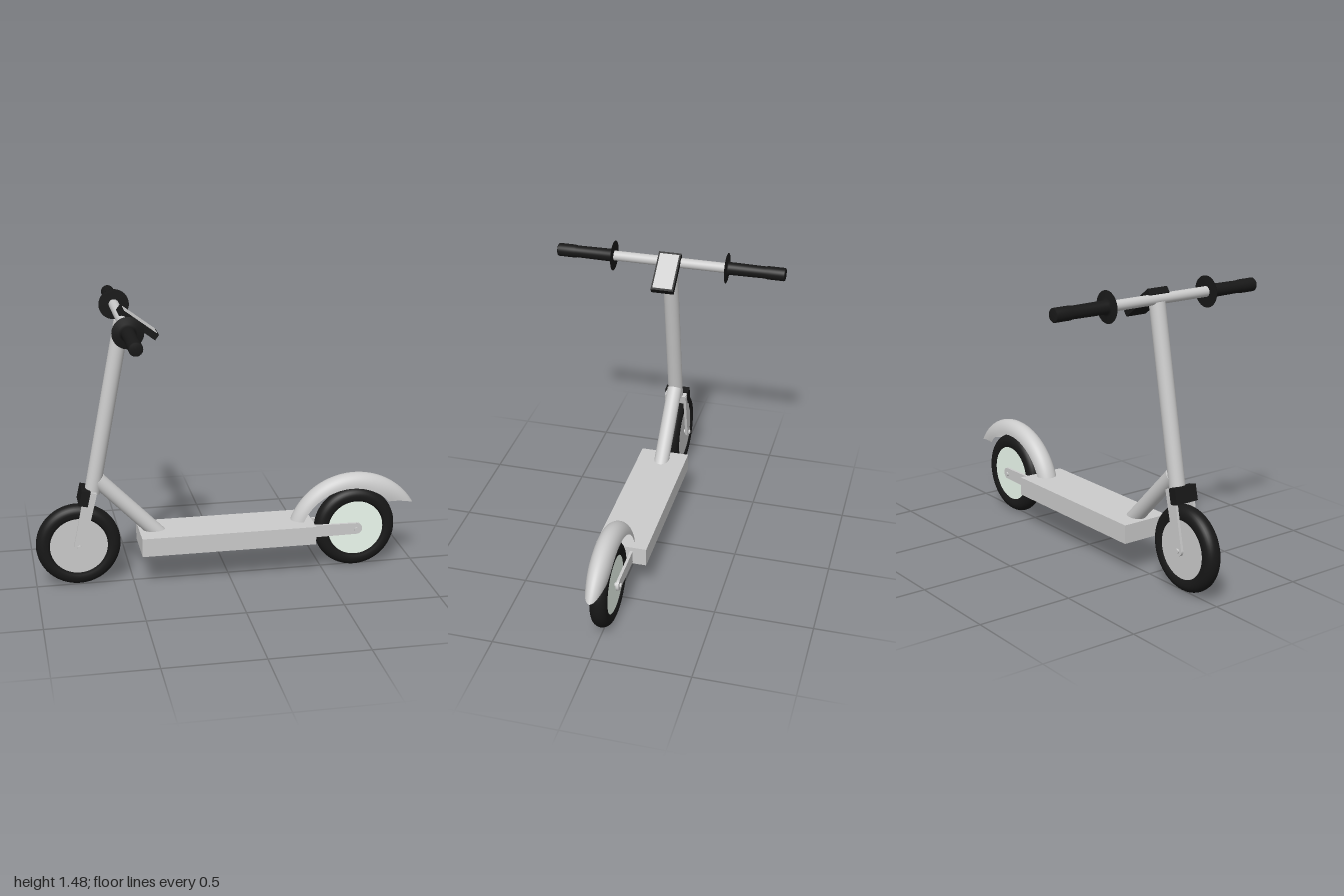
import * as THREE from 'three';

const grey = new THREE.MeshStandardMaterial({ color: 0xcccccc });
const greyShell = new THREE.MeshStandardMaterial({ color: 0xcccccc, side: THREE.DoubleSide });
const black = new THREE.MeshStandardMaterial({ color: 0x181818 });
const pale = new THREE.MeshStandardMaterial({ color: 0xeefbf0 });

const v = (x, y, z = 0) => new THREE.Vector3(x, y, z);

function add(parent, name, geometry, material, x = 0, y = 0, z = 0) {
  const mesh = new THREE.Mesh(geometry, material);
  mesh.name = name;
  mesh.position.set(x, y, z);
  parent.add(mesh);
  return mesh;
}

// Round bar between two points
function rod(parent, name, a, b, radius, material, segments = 32) {
  const dir = b.clone().sub(a);
  const mesh = add(parent, name, new THREE.CylinderGeometry(radius, radius, dir.length(), segments), material);
  mesh.position.copy(a).add(b).multiplyScalar(0.5);
  mesh.quaternion.setFromUnitVectors(v(0, 1), dir.normalize());
  return mesh;
}

// Flat plate with a rounded eye at the axle and a square far end, on both sides of the wheel
function platePair(parent, name, x, y, angle, length, eye, end) {
  const s = new THREE.Shape();
  s.moveTo(length, -end);
  s.lineTo(length, end);
  s.lineTo(0, eye);
  s.absarc(0, 0, eye, Math.PI / 2, Math.PI * 1.5, false);
  s.closePath();
  const geo = new THREE.ExtrudeGeometry(s, { depth: 0.014, bevelEnabled: false, curveSegments: 16 });
  for (const z of [0.046, -0.06]) add(parent, name, geo, grey, x, y, z).rotation.z = angle;
}

function wheel(name, x, y, discMaterial) {
  const g = new THREE.Group();
  g.name = name;
  // Tyre with a rounded tread
  const profile = [new THREE.Vector2(0.148, -0.036), new THREE.Vector2(0.16, -0.042)];
  for (let i = 0; i <= 14; i++) {
    const a = -Math.PI / 2 + (Math.PI * i) / 14;
    profile.push(new THREE.Vector2(0.176 + 0.041 * Math.cos(a), 0.043 * Math.sin(a)));
  }
  profile.push(new THREE.Vector2(0.16, 0.042), new THREE.Vector2(0.148, 0.036), new THREE.Vector2(0.148, -0.036));
  add(g, 'tyre', new THREE.LatheGeometry(profile, 64), black).rotation.x = Math.PI / 2;
  rod(g, 'wheelDisc', v(0, 0, -0.034), v(0, 0, 0.034), 0.15, discMaterial, 64);
  rod(g, 'axle', v(0, 0, -0.068), v(0, 0, 0.068), 0.012, grey, 16);
  g.position.set(x, y, 0);
  return g;
}

// Arched mudguard: half-tube swept round an arc, deeper and cut obliquely at the tail
function mudguardGeometry() {
  const nu = 48, nv = 20, pos = [], idx = [], R = 0.368;
  for (let i = 0; i <= nu; i++) {
    const t = i / nu;
    const depth = 0.055 + 0.04 * t * t;
    const tip = Math.max(0, (t - 0.8) / 0.2);
    const half = 0.055 - 0.008 * tip * tip;
    for (let j = 0; j <= nv; j++) {
      const phi = (Math.PI * j) / nv;
      const low = 1 - Math.sin(phi);
      const a = THREE.MathUtils.degToRad(THREE.MathUtils.lerp(163, 30 + 20 * low, t));
      const r = R - depth * low;
      pos.push(0.68 + r * Math.cos(a), 0.147 + r * Math.sin(a), half * Math.cos(phi));
      if (i < nu && j < nv) {
        const p = i * (nv + 1) + j, q = p + nv + 1;
        idx.push(p, q, p + 1, q, q + 1, p + 1);
      }
    }
  }
  const geo = new THREE.BufferGeometry();
  geo.setAttribute('position', new THREE.Float32BufferAttribute(pos, 3));
  geo.setIndex(idx);
  geo.computeVertexNormals();
  return geo;
}

export function createModel() {
  const model = new THREE.Group();
  model.name = 'kickScooter';

  // Wheels
  model.add(wheel('frontWheel', -0.78, 0.226, grey), wheel('rearWheel', 0.68, 0.217, pale));

  // Deck and rear fork
  add(model, 'deck', new THREE.BoxGeometry(0.909, 0.097, 0.26), grey, -0.011, 0.227, 0);
  platePair(model, 'rearForkArm', 0.68, 0.221, Math.PI, 0.25, 0.03, 0.033);
  add(model, 'rearMudguard', mudguardGeometry(), greyShell);

  // Steering column, brace and front fork
  rod(model, 'steeringColumn', v(-0.702, 0.5), v(-0.53, 1.385), 0.04, grey);
  rod(model, 'downTube', v(-0.67, 0.565), v(-0.36, 0.247), 0.04, grey);
  const lean = Math.atan2(0.32, 0.073);
  platePair(model, 'frontForkLeg', -0.78, 0.226, lean, 0.29, 0.027, 0.032);
  add(model, 'forkCrown', new THREE.BoxGeometry(0.055, 0.05, 0.118), grey, -0.715, 0.492, 0)
    .rotation.z = lean - Math.PI / 2;
  add(model, 'forkClamp', new THREE.BoxGeometry(0.046, 0.08, 0.13), black, -0.745, 0.489, 0)
    .rotation.z = lean - Math.PI / 2;

  // Handlebar with grips and flared hand guards
  const bar = new THREE.Group();
  bar.name = 'handlebar';
  bar.position.set(-0.535, 1.4, 0);
  model.add(bar);
  rod(bar, 'crossbar', v(0, 0, -0.59), v(0, 0, 0.59), 0.026, grey);
  const gripProfile = [[0, 0], [0.078, 0], [0.078, 0.002], [0.045, 0.007], [0.033, 0.012],
    [0.031, 0.2], [0.034, 0.215], [0.034, 0.3], [0.03, 0.305], [0, 0.305]]
    .map(([r, h]) => new THREE.Vector2(r, h));
  for (const side of [1, -1]) {
    const grip = add(bar, 'grip', new THREE.LatheGeometry(gripProfile, 40), black, 0, 0, side * 0.3);
    grip.rotation.x = (side * Math.PI) / 2;
  }

  // Sloping display on top of the column
  const display = new THREE.Group();
  display.name = 'display';
  display.position.set(-0.452, 1.375, 0);
  display.rotation.z = -0.65;
  model.add(display);
  add(display, 'displayCase', new THREE.BoxGeometry(0.222, 0.033, 0.118), black);
  add(display, 'displayPanel', new THREE.BoxGeometry(0.2, 0.004, 0.102), grey, 0, 0.0165, 0);

  return model;
}
